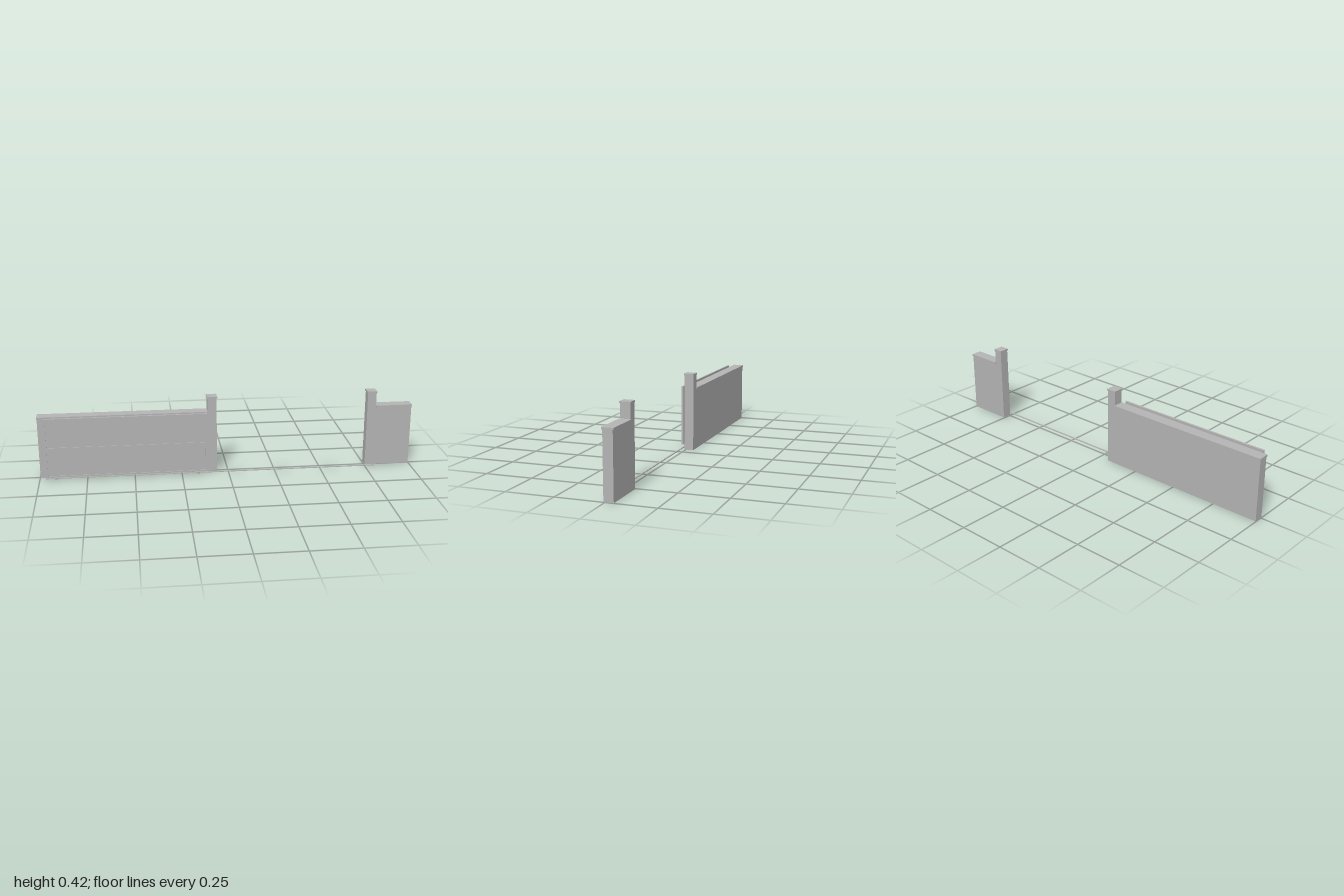
import * as THREE from 'three';

export function createModel() {
  const group = new THREE.Group();
  group.name = 'slidingGate';
  const grey = new THREE.MeshStandardMaterial({ color: 0xb4b4b4 });
  grey.name = 'plain grey';

  // box given by its limits on each axis
  function box(name, x0, x1, y0, y1, z0, z1, parent = group) {
    const mesh = new THREE.Mesh(new THREE.BoxGeometry(x1 - x0, y1 - y0, z1 - z0), grey);
    mesh.position.set((x0 + x1) / 2, (y0 + y1) / 2, (z0 + z1) / 2);
    mesh.name = name;
    parent.add(mesh);
  }

  // walls and pillars with overhanging caps
  const back = -0.042, front = 0.008;
  function wall(side, x0, x1, capX0, capX1) {
    box(side + 'Wall', x0, x1, 0, 0.328, back, front);
    box(side + 'WallCap', capX0, capX1, 0.328, 0.338, -0.047, 0.013);
  }
  function pillar(side, x0, x1) {
    box(side + 'Pillar', x0, x1, 0, 0.409, back, front);
    box(side + 'PillarCap', x0 - 0.003, x1 + 0.003, 0.409, 0.418, -0.045, 0.011);
  }
  wall('right', -0.998, -0.109, -1, -0.109);
  pillar('right', -0.109, -0.06);
  wall('left', 0.802, 0.998, 0.802, 1);
  pillar('left', 0.755, 0.802);

  // sliding leaf: thin frame, middle rail and recessed panel
  const gate = new THREE.Group();
  gate.name = 'gateLeaf';
  group.add(gate);
  const gx0 = -0.963, gx1 = -0.115, gy0 = 0.014, gy1 = 0.338, t = 0.008;
  const gz0 = 0.035, gz1 = 0.045, mid = (gy0 + gy1) / 2;
  for (const x of [gx0, gx1 - t]) box('gateStile', x, x + t, gy0, gy1, gz0, gz1, gate);
  for (const y of [gy0, gy1 - t]) box('gateRail', gx0 + t, gx1 - t, y, y + t, gz0, gz1, gate);
  box('middleRail', gx0 + t, gx1 - t, mid - 0.003, mid + 0.003, gz0, gz1, gate);
  box('gatePanel', gx0 + t, gx1 - t, gy0 + t, gy1 - t, 0.037, 0.041, gate);

  // bevelled rollers under the leaf
  const profile = [[0, -0.008], [0.005, -0.008], [0.007, -0.005], [0.007, 0.005], [0.005, 0.008], [0, 0.008]]
    .map(([r, h]) => new THREE.Vector2(r, h));
  const roller = new THREE.LatheGeometry(profile, 16).rotateX(Math.PI / 2);
  for (const x of [-0.912, -0.163]) {
    const wheel = new THREE.Mesh(roller, grey);
    wheel.name = 'roller';
    wheel.position.set(x, 0.009, 0.04);
    gate.add(wheel);
  }

  // ground track
  box('track', -0.968, 0.802, 0.001, 0.005, 0.024, 0.032);
  return group;
}
